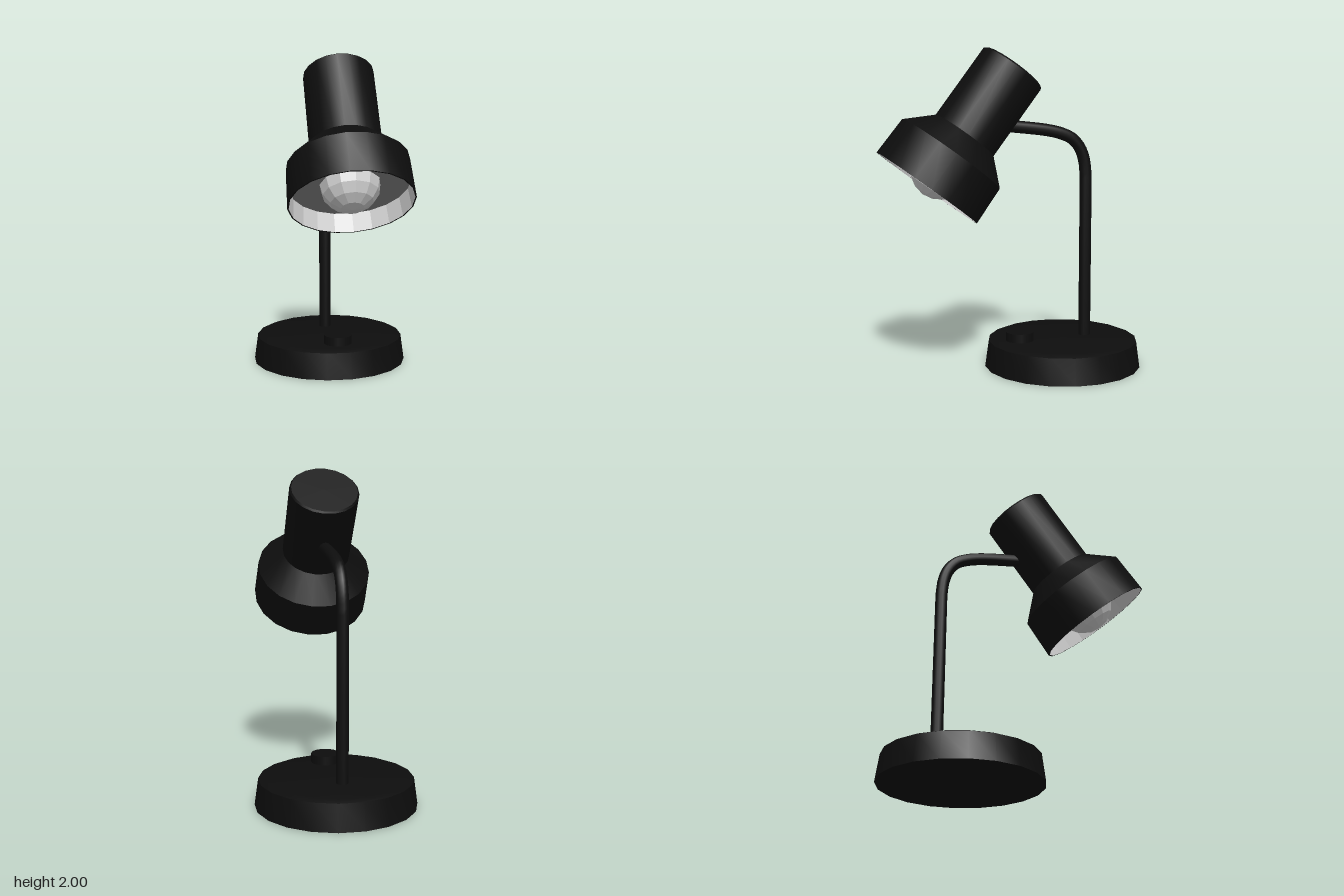
import * as THREE from 'three';
import { toCreasedNormals } from 'three/addons/utils/BufferGeometryUtils.js';

const black = new THREE.MeshStandardMaterial({ color: 0x0d0d0d });
const grey = new THREE.MeshStandardMaterial({ color: 0xcccccc, flatShading: true, side: THREE.DoubleSide });
const darkGrey = new THREE.MeshStandardMaterial({ color: 0x808080, side: THREE.DoubleSide });

// Turned part from [radius, height] pairs listed bottom to top
function turned(profile, segments) {
  const points = profile.map(([r, y]) => new THREE.Vector2(r, y));
  return toCreasedNormals(new THREE.LatheGeometry(points, segments), 0.6);
}

function add(parent, name, geometry, material, x = 0, y = 0, z = 0) {
  const mesh = new THREE.Mesh(geometry, material);
  mesh.name = name;
  mesh.position.set(x, y, z);
  parent.add(mesh);
  return mesh;
}

export function createModel() {
  const lamp = new THREE.Group();
  lamp.name = 'deskLamp';

  // Round weighted base with a bevelled top edge, and its push button
  add(lamp, 'base', turned([[0, 0], [0.495, 0], [0.472, 0.165], [0.435, 0.18], [0, 0.18]], 20),
    black, -0.135, 0, -0.293);
  add(lamp, 'button', new THREE.CylinderGeometry(0.088, 0.088, 0.07, 20), black, 0.01, 0.2, -0.045);

  // Upright post bending over towards the head; [z, y] points in one slanted plane
  const bend = [[-0.425, 1.2], [-0.415, 1.3], [-0.39, 1.38], [-0.345, 1.44],
    [-0.28, 1.475], [-0.2, 1.497], [0, 1.525], [0.13, 1.54]];
  const toPoint = ([z, y]) => new THREE.Vector3(-0.212 + (z + 0.425) * 0.56, y, z);
  const arm = new THREE.CurvePath();
  arm.add(new THREE.LineCurve3(toPoint([-0.425, 0.17]), toPoint(bend[0])));
  arm.add(new THREE.CatmullRomCurve3(bend.map(toPoint)));
  add(lamp, 'arm', new THREE.TubeGeometry(arm, 60, 0.038, 12), black);

  // Head: local origin at the rim centre, +y running up to the closed cap
  const rim = new THREE.Vector3(0.272, 1.162, 0.475);
  const cap = new THREE.Vector3(0.025, 1.88, -0.004);
  const length = rim.distanceTo(cap);
  const head = new THREE.Group();
  head.name = 'head';
  head.position.copy(rim);
  head.quaternion.setFromUnitVectors(new THREE.Vector3(0, 1, 0), cap.clone().sub(rim).normalize());
  lamp.add(head);

  add(head, 'shade', turned([[0.362, 0], [0.37, 0], [0.362, 0.25], [0.215, 0.39],
    [0.215, length - 0.01], [0.205, length], [0, length]], 20), black);

  // Inside of the shade: pale wall, flat reflector and half-round bulb
  const depth = 0.12;
  add(head, 'shadeLining', new THREE.CylinderGeometry(0.352, 0.362, depth, 20, 1, true), grey, 0, depth / 2, 0);
  add(head, 'reflector', new THREE.CircleGeometry(0.352, 20).rotateX(Math.PI / 2), darkGrey, 0, depth, 0);
  const bulb = add(head, 'bulb',
    new THREE.SphereGeometry(0.178, 12, 4, 0, Math.PI * 2, Math.PI / 2, Math.PI / 2), grey, 0, depth, 0);
  bulb.scale.y = 0.93;

  return lamp;
}
